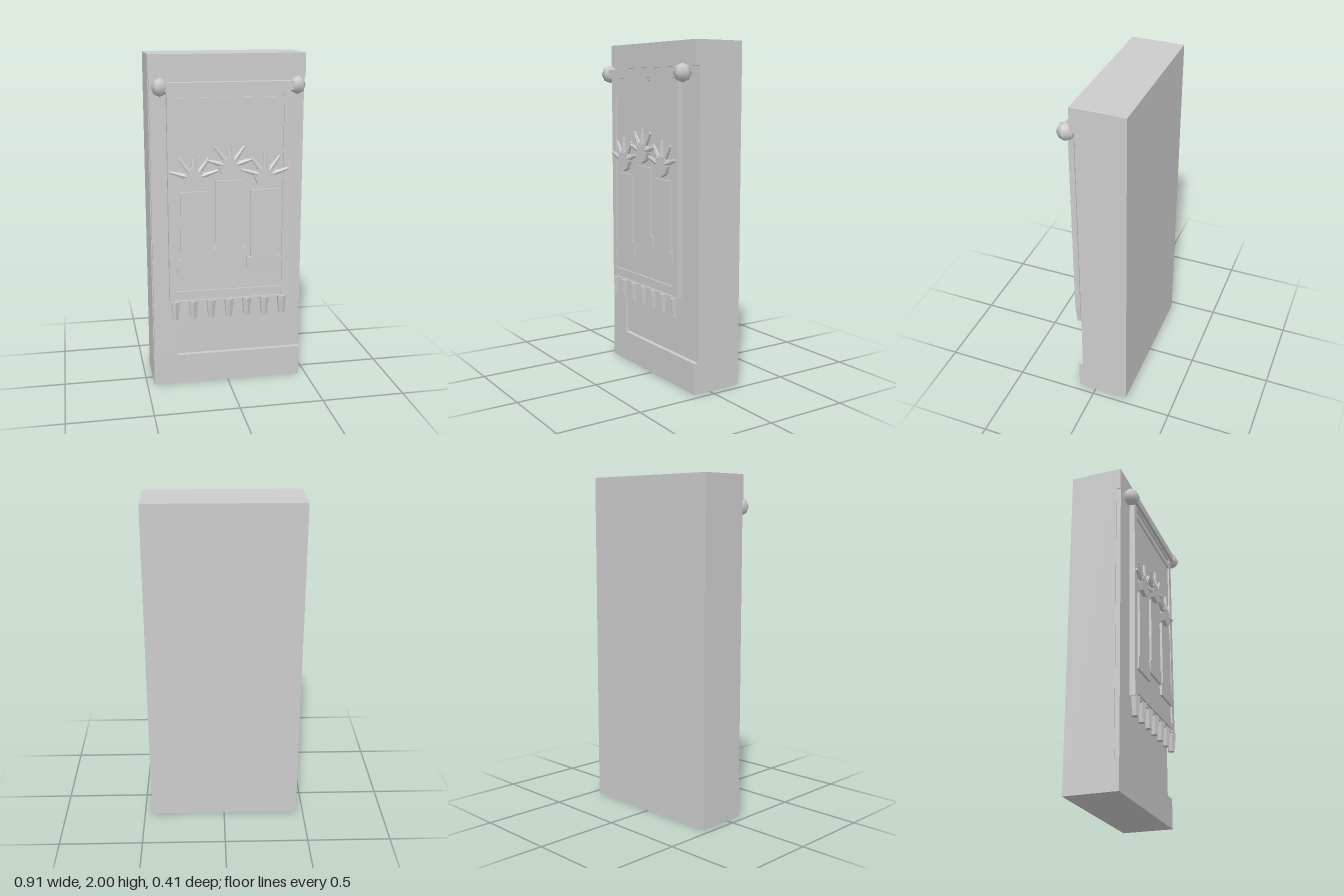
import * as THREE from 'three';

const material = new THREE.MeshStandardMaterial({ color: 0xcccccc, flatShading: true });
const smooth = new THREE.MeshStandardMaterial({ color: 0xcccccc });

function add(parent, name, geometry, x = 0, y = 0, z = 0, mat = material) {
  const mesh = new THREE.Mesh(geometry, mat);
  mesh.name = name;
  mesh.position.set(x, y, z);
  parent.add(mesh);
  return mesh;
}

const points = (list) => list.map(([x, y]) => new THREE.Vector2(x, y));
const rect = (x0, y0, x1, y1) => points([[x0, y0], [x1, y0], [x1, y1], [x0, y1]]);

// Flat plate from an outline with optional holes, between two depths
function plate(outline, z0, z1, holes = []) {
  const shape = new THREE.Shape(outline);
  shape.holes = holes.map((h) => new THREE.Path(h));
  const geometry = new THREE.ExtrudeGeometry(shape, { depth: z1 - z0, bevelEnabled: false });
  return geometry.translate(0, 0, z0);
}

// Candle-like figure: stepped body with a sun head and five rays
function emblem(x, bottom, step, top, sunY) {
  const group = new THREE.Group();
  group.name = 'emblem';
  group.position.x = x;
  add(group, 'emblemBody', plate(points([
    [-0.102, bottom], [0.102, bottom], [0.102, step], [0.081, step],
    [0.081, top], [-0.081, top], [-0.081, step], [-0.102, step],
  ]), 0.15, 0.169));
  const disc = new THREE.CylinderGeometry(0.064, 0.064, 0.03, 8).rotateX(Math.PI / 2);
  add(group, 'sunDisc', disc, 0, sunY, 0.165);
  for (let i = -2; i <= 2; i++) {
    const ray = new THREE.CylinderGeometry(0.009, 0.018, 0.1, 6).translate(0, 0.096, 0);
    ray.scale(1, 1, 0.8);
    add(group, 'sunRay', ray, 0, sunY, 0.17).rotation.z = i * 0.64;
  }
  return group;
}

export function createModel() {
  const model = new THREE.Group();
  model.name = 'bannerSlab';

  // Stone slab with a shallow front recess open to the left side
  const slab = new THREE.Group();
  slab.name = 'slab';
  model.add(slab);
  add(slab, 'slabBack', new THREE.BoxGeometry(0.914, 2, 0.288), 0, 1, -0.061);
  add(slab, 'slabFront', plate(points([
    [-0.457, 0], [0.457, 0], [0.457, 0.185], [-0.31, 0.185], [-0.31, 1.858],
    [0.457, 1.858], [0.457, 2], [-0.457, 2], [-0.457, 1.858],
    [-0.452, 1.858], [-0.452, 0.185], [-0.457, 0.185],
  ]), 0.083, 0.11));

  // Hanging banner: cloth and raised border with narrow slots
  const banner = new THREE.Group();
  banner.name = 'banner';
  model.add(banner);
  add(banner, 'cloth', plate(rect(-0.36, 0.55, 0.36, 1.8), 0.132, 0.155));
  add(banner, 'border', plate(rect(-0.36, 0.55, 0.36, 1.8), 0.155, 0.165, [
    rect(-0.32, 0.615, 0.32, 1.722),
    rect(-0.32, 0.557, 0.32, 0.578),
    rect(-0.32, 1.76, 0.32, 1.783),
  ]));

  // Rod and faceted end knobs
  add(banner, 'rod', new THREE.BoxGeometry(0.74, 0.05, 0.055), 0, 1.822, 0.157);
  for (const side of [-1, 1]) {
    const knob = add(banner, 'rodKnob', new THREE.SphereGeometry(0.053, 6, 4), side * 0.396, 1.822, 0.157, smooth);
    knob.scale.x = 0.91;
  }

  // Fringe of tapered tassels
  for (let i = -3; i <= 3; i++) {
    const tassel = new THREE.CylinderGeometry(0.031, 0.02, 0.112, 6);
    add(banner, 'tassel', tassel, i * 0.109, 0.496, 0.152);
  }

  // Three emblems, the middle one higher
  banner.add(emblem(0, 0.79, 0.875, 1.28, 1.363));
  for (const side of [-1, 1]) banner.add(emblem(side * 0.209, 0.728, 0.81, 1.22, 1.3));

  return model;
}
